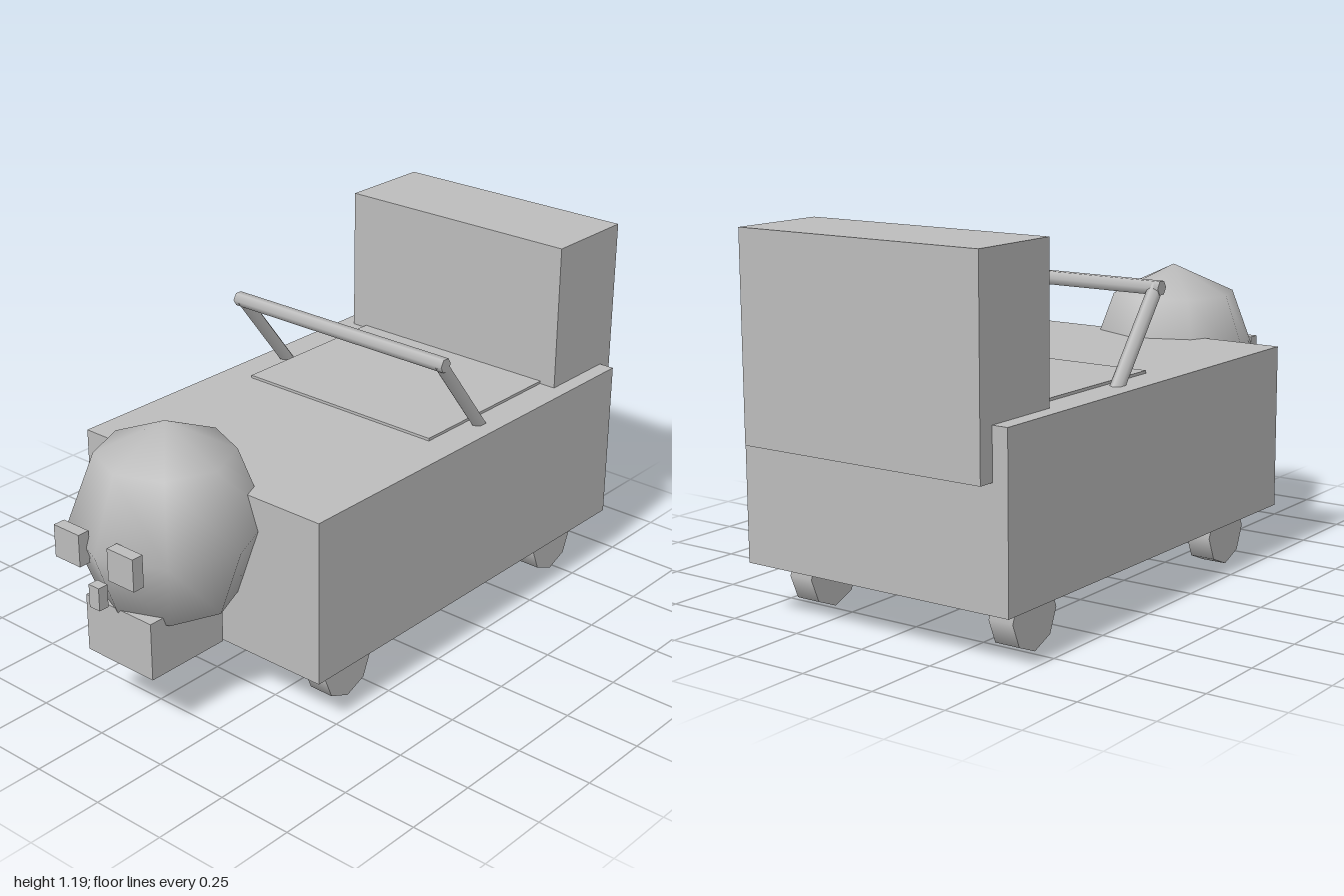
import * as THREE from 'three';

export function createModel() {
  const model = new THREE.Group();
  const grey = new THREE.MeshStandardMaterial({ color: 0xbcbcbc });
  grey.name = 'plain grey';

  function add(name, geometry, x = 0, y = 0, z = 0) {
    const mesh = new THREE.Mesh(geometry, grey);
    mesh.name = name;
    mesh.position.set(x, y, z);
    model.add(mesh);
    return mesh;
  }

  // box given by its limits on each axis
  function box(name, [x0, x1], [y0, y1], [z0, z1]) {
    return add(name, new THREE.BoxGeometry(x1 - x0, y1 - y0, z1 - z0),
      (x0 + x1) / 2, (y0 + y1) / 2, (z0 + z1) / 2);
  }

  // six-sided rod between two points
  function rod(name, a, b, radius) {
    const dir = b.clone().sub(a);
    const mesh = add(name, new THREE.CylinderGeometry(radius, radius, dir.length(), 6));
    mesh.position.copy(a).add(b).multiplyScalar(0.5);
    mesh.quaternion.setFromUnitVectors(new THREE.Vector3(0, 1, 0), dir.normalize());
    return mesh;
  }

  // body, seat panel and rear box
  box('body', [-0.485, 0.485], [0.165, 0.705], [-0.945, 0.563]);
  box('seatPanel', [-0.377, 0.377], [0.695, 0.714], [-0.8, -0.08]);
  box('rearBox', [-0.433, 0.433], [0.545, 1.19], [-1, -0.675]);

  // head: a coarse, smoothly shaded ball, slightly taller than wide
  const ball = new THREE.SphereGeometry(1, 8, 4);
  ball.scale(0.3, 0.333, 0.3);
  add('head', ball, 0, 0.596, 0.692);
  box('jaw', [-0.137, 0.137], [0.2, 0.39], [0.61, 0.91]);
  box('nose', [-0.021, 0.021], [0.43, 0.505], [0.965, 1]);

  for (const s of [-1, 1]) {
    const side = s > 0 ? 'left' : 'right';
    add(side + 'Eye', new THREE.BoxGeometry(0.105, 0.105, 0.04), s * 0.112, 0.597, 0.975);

    // sloping post of the grab bar
    rod(side + 'Post', new THREE.Vector3(s * 0.411, 0.69, -0.302),
      new THREE.Vector3(s * 0.411, 0.978, -0.08), 0.023);

    // eight-sided wheels
    for (const [end, z] of [['Front', 0.353], ['Rear', -0.73]]) {
      const wheel = new THREE.CylinderGeometry(0.107, 0.107, 0.085, 8);
      wheel.rotateZ(Math.PI / 2);
      add(side + end + 'Wheel', wheel, s * 0.377, 0.108, z);
    }
  }

  // cross bar joining the posts
  rod('crossBar', new THREE.Vector3(-0.433, 0.974, -0.083), new THREE.Vector3(0.433, 0.974, -0.083), 0.024);

  return model;
}
